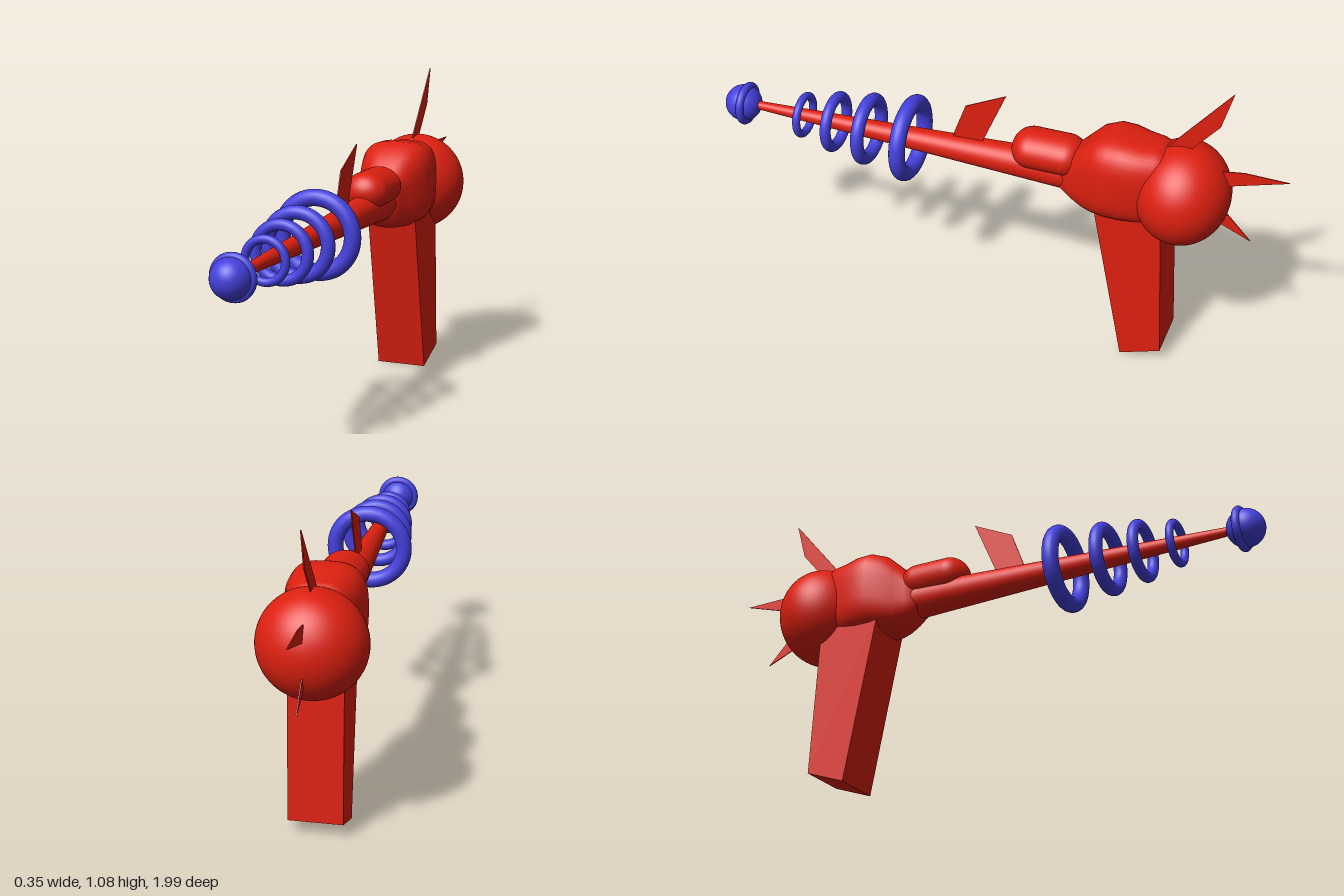
import * as THREE from 'three';

const red = new THREE.MeshStandardMaterial({ color: 0xdd2010 });
const redThin = new THREE.MeshStandardMaterial({ color: 0xdd2010, side: THREE.DoubleSide });
const blue = new THREE.MeshStandardMaterial({ color: 0x4440dd });
const AXIS_Y = 0.648;

// Closed loft along -z with rounded-box sections: [z, halfWidth, bottom, top]
function loft(sections, sides = 40, power = 3) {
  const pos = [], index = [];
  const round = (v) => Math.sign(v) * Math.abs(v) ** (2 / power);
  for (const [z, w, y0, y1] of sections) {
    for (let j = 0; j < sides; j++) {
      const a = (j / sides) * Math.PI * 2;
      pos.push(w * round(Math.cos(a)), (y0 + y1) / 2 + ((y1 - y0) / 2) * round(Math.sin(a)), z);
    }
  }
  for (let i = 0; i < sections.length - 1; i++) {
    for (let j = 0; j < sides; j++) {
      const k = (j + 1) % sides;
      const a = i * sides + j, b = i * sides + k, c = a + sides, d = b + sides;
      index.push(a, c, b, b, c, d);
    }
  }
  const geo = new THREE.BufferGeometry();
  geo.setAttribute('position', new THREE.Float32BufferAttribute(pos, 3));
  geo.setIndex(index);
  geo.computeVertexNormals();
  return geo;
}

// Thin upright plate in the middle plane from [z, y] points
function finGeometry(points) {
  const shape = new THREE.Shape(points.map(([z, y]) => new THREE.Vector2(-z, y)));
  const geo = new THREE.ExtrudeGeometry(shape, { depth: 0.004, bevelEnabled: false });
  return geo.translate(0, 0, -0.002).rotateY(Math.PI / 2);
}

export function createModel() {
  const group = new THREE.Group();
  const add = (name, geo, mat, x = 0, y = 0, z = 0) => {
    const mesh = new THREE.Mesh(geo, mat);
    mesh.name = name;
    mesh.position.set(x, y, z);
    group.add(mesh);
    return mesh;
  };

  // Tapered barrel
  const barrel = new THREE.CylinderGeometry(0.014, 0.066, 1.27, 40).rotateX(Math.PI / 2);
  add('barrel', barrel, red, 0, AXIS_Y + 0.002, 0.265).rotation.x = 0.005;

  // Rings around the barrel: [z, outer radius, tube radius]
  for (const [z, outer, tube] of [
    [0.7, 0.081, 0.014], [0.58, 0.107, 0.019], [0.455, 0.126, 0.023], [0.3, 0.151, 0.028],
  ]) {
    add('barrelRing', new THREE.TorusGeometry(outer - tube, tube, 20, 56), blue, 0, AXIS_Y, z);
  }

  // Muzzle ball with its collar
  add('muzzleBall', new THREE.SphereGeometry(0.064, 40, 28), blue, 0, 0.645, 0.936);
  add('muzzleCollar', new THREE.TorusGeometry(0.062, 0.014, 16, 48), blue, 0, 0.645, 0.922);

  // Swelling main body
  add('body', loft([
    [-0.25, 0.001, 0.65, 0.652], [-0.25, 0.055, 0.6, 0.7], [-0.29, 0.072, 0.57, 0.755],
    [-0.33, 0.09, 0.552, 0.795], [-0.37, 0.115, 0.548, 0.832], [-0.42, 0.13, 0.548, 0.85],
    [-0.47, 0.13, 0.548, 0.848], [-0.52, 0.12, 0.548, 0.838], [-0.57, 0.108, 0.55, 0.835],
    [-0.61, 0.09, 0.56, 0.825], [-0.64, 0.05, 0.6, 0.76], [-0.65, 0.001, 0.68, 0.682],
  ]), red);

  // Rounded pod above the barrel root
  const pod = new THREE.CapsuleGeometry(0.067, 0.12, 14, 36).rotateX(Math.PI / 2).scale(1.18, 1, 1);
  add('sightPod', pod, red, 0, 0.717, -0.198);

  // Rear bulb
  add('rearBulb', new THREE.SphereGeometry(0.176, 56, 40).scale(1, 1, 0.9), red, 0, 0.668, -0.655);

  // Raked grip: a box whose corners follow the tapered side outline
  const grip = new THREE.BoxGeometry(0.18, 1, 1);
  const p = grip.attributes.position;
  for (let i = 0; i < p.count; i++) {
    const front = p.getZ(i) > 0;
    if (p.getY(i) > 0) p.setXYZ(i, p.getX(i), 0.6, front ? -0.381 : -0.61);
    else p.setXYZ(i, p.getX(i), front ? 0 : 0.05, front ? -0.5 : -0.64);
  }
  grip.computeVertexNormals();
  add('grip', grip, red);

  // Fins on the barrel and the bulb
  const fins = {
    barrelFin: [[0.145, 0.67], [0.14, 0.71], [0.098, 0.825], [-0.045, 0.895], [0.035, 0.705], [0.05, 0.67]],
    topFin: [[-0.58, 0.81], [-0.6, 0.838], [-0.795, 1.075], [-0.76, 0.945], [-0.665, 0.83], [-0.65, 0.79]],
    rearFin: [[-0.74, 0.76], [-0.785, 0.78], [-0.85, 0.79], [-0.995, 0.787], [-0.81, 0.73], [-0.76, 0.715]],
    lowerFin: [[-0.76, 0.64], [-0.81, 0.615], [-0.89, 0.53], [-0.785, 0.575], [-0.75, 0.59]],
  };
  for (const [name, points] of Object.entries(fins)) add(name, finGeometry(points), redThin);

  // Slight yaw of the whole assembly
  group.rotation.y = 0.0107;
  return group;
}
